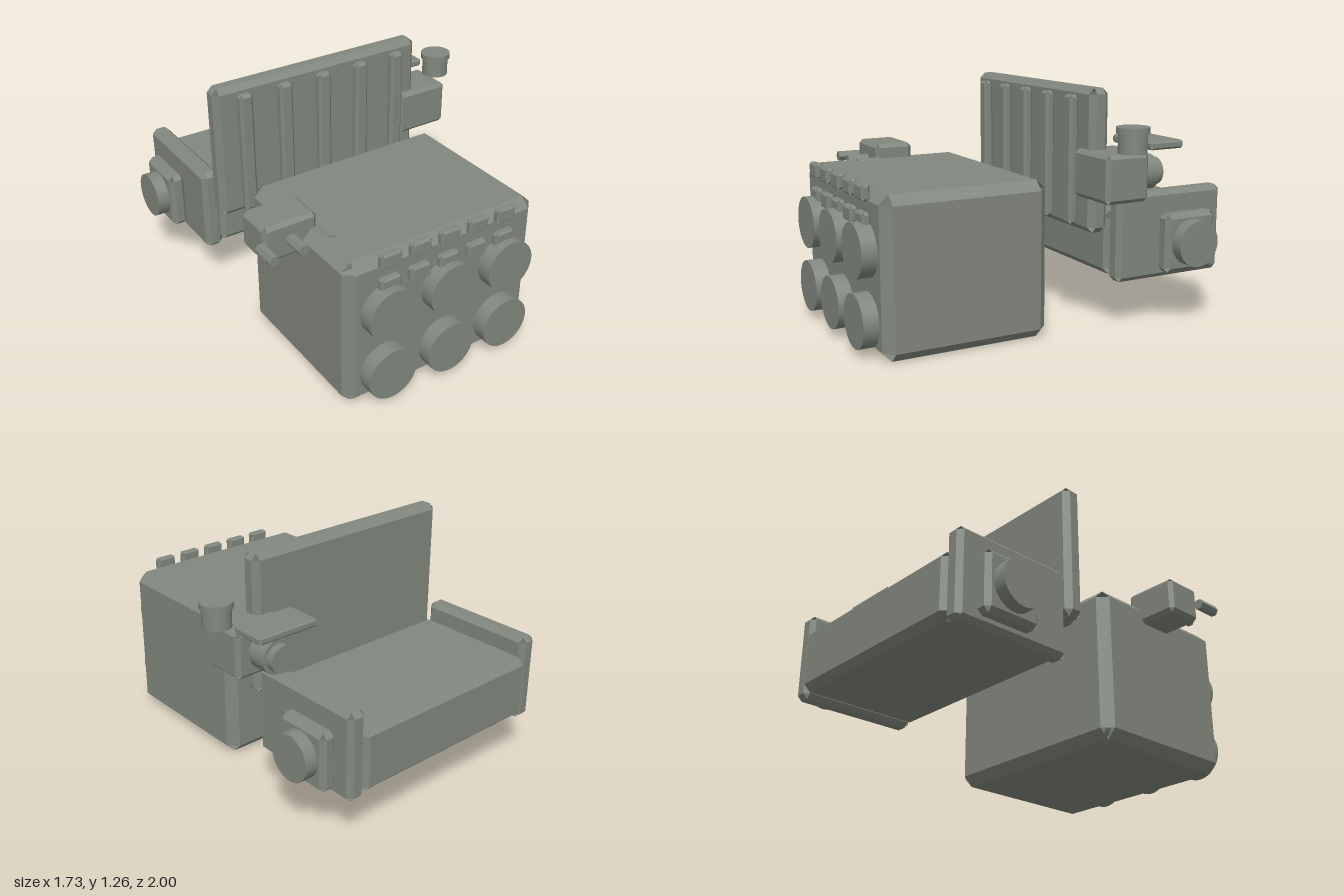
import * as THREE from 'three';

const COLOR = 0x81877e;
const material = new THREE.MeshStandardMaterial({ color: COLOR });
const flatMaterial = new THREE.MeshStandardMaterial({ color: COLOR, flatShading: true });
const openMaterial = new THREE.MeshStandardMaterial({ color: COLOR, side: THREE.DoubleSide });
const MIDDLE = -0.058; // x of the furniture's own symmetry plane
const SIGNS = [-1, 0, 1];

// Six faces and twelve bevel strips; the tiny corner triangles stay open.
function bevelGeometry(half, step) {
  const positions = [];
  for (const nx of SIGNS) for (const ny of SIGNS) for (const nz of SIGNS) {
    const n = [nx, ny, nz];
    const used = [0, 1, 2].filter((k) => n[k] !== 0);
    const free = [0, 1, 2].filter((k) => n[k] === 0);
    if (used.length !== 1 && used.length !== 2) continue;
    const corners = [[-1, -1], [1, -1], [1, 1], [-1, 1]].map(([i, j]) => {
      const p = half.map((h, k) => n[k] * h);
      if (used.length === 1) {
        p[free[0]] = i * (half[free[0]] - step);
        p[free[1]] = j * (half[free[1]] - step);
      } else {
        p[used[i < 0 ? 0 : 1]] -= n[used[i < 0 ? 0 : 1]] * step;
        p[free[0]] = j * (half[free[0]] - step);
      }
      return new THREE.Vector3(...p);
    });
    // Turn the quad outward
    const [a, b, c] = corners;
    const normal = b.clone().sub(a).cross(c.clone().sub(a));
    if (normal.dot(new THREE.Vector3(...n)) < 0) corners.reverse();
    for (const k of [0, 1, 2, 0, 2, 3]) positions.push(...corners[k].toArray());
  }
  const geometry = new THREE.BufferGeometry();
  geometry.setAttribute('position', new THREE.Float32BufferAttribute(positions, 3));
  geometry.computeVertexNormals();
  return geometry;
}

// Box with bevelled edges, given by its limits on each axis.
function bevelledBox(parent, name, [x0, x1], [y0, y1], [z0, z1], step) {
  const half = [(x1 - x0) / 2, (y1 - y0) / 2, (z1 - z0) / 2];
  const mesh = new THREE.Mesh(bevelGeometry(half, step), openMaterial);
  mesh.position.set((x0 + x1) / 2, (y0 + y1) / 2, (z0 + z1) / 2);
  mesh.name = name;
  parent.add(mesh);
}

// Cylinder lying along the given axis.
function cylinder(parent, name, axis, radius, length, position, sides = 32) {
  const geometry = new THREE.CylinderGeometry(radius, radius, length, sides, 1, false, Math.PI / 6);
  if (axis === 'x') geometry.rotateZ(Math.PI / 2);
  if (axis === 'z') geometry.rotateX(Math.PI / 2);
  const mesh = new THREE.Mesh(geometry, sides < 8 ? flatMaterial : material);
  mesh.position.set(...position);
  mesh.name = name;
  parent.add(mesh);
}

function group(parent, name) {
  const g = new THREE.Group();
  g.name = name;
  parent.add(g);
  return g;
}

export function createModel() {
  const model = new THREE.Group();
  model.name = 'model';

  // Front cabinet with round drums and two rows of buttons
  const cabinet = group(model, 'cabinet');
  bevelledBox(cabinet, 'cabinetBody', [-0.62, 0.504], [0, 0.815], [0.03, 0.92], 0.05);
  for (const y of [0.175, 0.525]) {
    for (const dx of [-0.35, 0, 0.35]) {
      cylinder(cabinet, 'drum', 'z', 0.138, 0.12, [MIDDLE + dx, y, 0.94], 40);
    }
  }
  for (const y of [0.67, 0.805]) {
    for (let i = -2; i <= 2; i++) {
      const x = MIDDLE + i * 0.17;
      bevelledBox(cabinet, 'button', [x - 0.057, x + 0.057], [y - 0.039, y + 0.039], [0.914, 0.957], 0.01);
    }
  }

  // Side box with three hexagonal pegs
  const sideBox = group(model, 'sideBox');
  bevelledBox(sideBox, 'sideBoxBody', [-0.825, -0.533], [0.70, 0.893], [0.328, 0.542], 0.02);
  for (const x of [-0.838, -0.681, -0.524]) {
    cylinder(sideBox, 'peg', 'z', 0.029, 0.13, [x, 0.798, 0.597], 6);
  }

  // Upright back panel with vertical ribs
  const back = group(model, 'backPanel');
  bevelledBox(back, 'backBoard', [-0.68, 0.563], [0.527, 1.263], [-0.282, -0.172], 0.03);
  for (let i = -2; i <= 2; i++) {
    const x = MIDDLE + i * 0.233;
    bevelledBox(back, 'rib', [x - 0.038, x + 0.038], [0.56, 1.225], [-0.172, -0.12], 0.014);
  }

  // Low rear block between two end panels with round hubs
  const bench = group(model, 'bench');
  bevelledBox(bench, 'benchBlock', [-0.635, 0.519], [0.28, 0.62], [-1, -0.305], 0.035);
  for (const side of [-1, 1]) {
    const span = (a, b) => [MIDDLE + side * a, MIDDLE + side * b].sort((p, q) => p - q);
    bevelledBox(bench, 'endPanel', span(0.55, 0.65), [0.255, 0.72], [-0.983, -0.325], 0.025);
    bevelledBox(bench, 'hubPlate', span(0.64, 0.73), [0.292, 0.604], [-0.887, -0.575], 0.024);
    cylinder(bench, 'hub', 'x', 0.122, 0.085, [MIDDLE + side * 0.755, 0.45, -0.73]);
  }

  // Box at the panel's end: rear nozzle, thin shelf and capped canister
  const unit = group(model, 'cornerUnit');
  bevelledBox(unit, 'unitBody', [0.448, 0.76], [0.713, 0.957], [-0.388, -0.138], 0.02);
  cylinder(unit, 'nozzle', 'z', 0.09, 0.125, [0.604, 0.835, -0.433]);
  cylinder(unit, 'nozzleTip', 'z', 0.07, 0.05, [0.604, 0.835, -0.51]);
  bevelledBox(unit, 'shelf', [0.431, 0.774], [0.969, 1.011], [-0.578, -0.383], 0.01);
  cylinder(unit, 'canister', 'y', 0.072, 0.1, [0.782, 1.017, -0.264]);
  cylinder(unit, 'canisterCap', 'y', 0.082, 0.032, [0.782, 1.08, -0.264]);

  return model;
}
